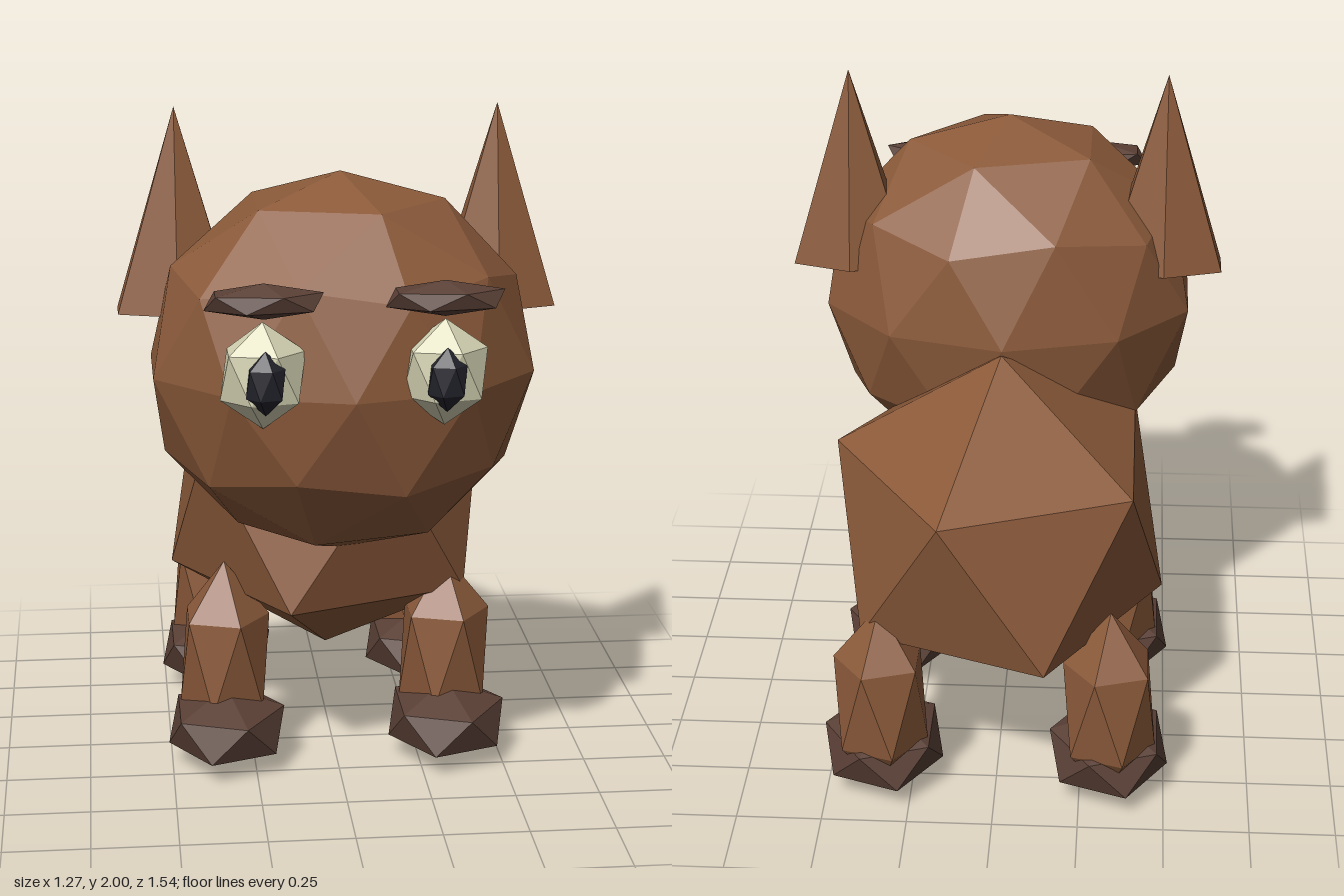
import * as THREE from 'three';

const paint = (name, color) => {
  const m = new THREE.MeshStandardMaterial({ color, flatShading: true });
  m.name = name;
  return m;
};

// Icosahedron with a vertex at each pole and two staggered rings of five
function icoBall(rx, ry, rz, detail = 0) {
  const verts = [0, 1, 0];
  const h = 1 / Math.sqrt(5), r = 2 * h;
  for (const [offset, y] of [[0, h], [Math.PI / 5, -h]]) {
    for (let k = 0; k < 5; k++) {
      const a = offset + (k * 2 * Math.PI) / 5;
      verts.push(r * Math.cos(a), y, -r * Math.sin(a));
    }
  }
  verts.push(0, -1, 0);
  const faces = [];
  for (let k = 0; k < 5; k++) {
    const n = (k + 1) % 5;
    const u = 1 + k, u2 = 1 + n, l = 6 + k, l2 = 6 + n;
    faces.push(0, u, u2, u, l, u2, l, l2, u2, 11, l2, l);
  }
  const geo = new THREE.PolyhedronGeometry(verts, faces, 1, detail);
  geo.scale(rx, ry, rz);
  geo.computeVertexNormals();
  return geo;
}

export function createModel() {
  const fur = paint('brown fur', 0x8b5a3a);
  const dark = paint('dark brown', 0x5a4036);
  const white = paint('eye cream', 0xd4d2b2);
  const black = paint('pupil black', 0x23232c);

  const model = new THREE.Group();
  model.name = 'animal';
  const add = (name, geo, mat, x, y, z) => {
    const mesh = new THREE.Mesh(geo, mat);
    mesh.name = name;
    mesh.position.set(x, y, z);
    model.add(mesh);
  };

  // Body and head
  add('body', icoBall(0.54, 0.515, 0.64), fur, 0, 0.75, -0.225);
  add('head', icoBall(0.57, 0.56, 0.47, 1), fur, 0, 1.27, 0.26);

  // Shared shapes for the paired parts
  const ear = new THREE.ConeGeometry(1, 0.59, 6).toNonIndexed();
  ear.scale(0.197, 1, 0.11);
  ear.computeVertexNormals();
  const leg = icoBall(0.152, 0.307, 0.153);
  const foot = icoBall(0.196, 0.121, 0.225);
  const brow = icoBall(0.182, 0.05, 0.077);
  const eye = icoBall(0.131, 0.15, 0.095);
  const pupil = icoBall(0.06, 0.09, 0.045);

  for (const [side, s] of [['left', 1], ['right', -1]]) {
    // Ears and face
    add(side + 'Ear', ear, fur, s * 0.465, 1.705, 0.14);
    add(side + 'Brow', brow, dark, s * 0.247, 1.55, 0.68);
    add(side + 'Eye', eye, white, s * 0.25, 1.34, 0.665);
    add(side + 'Pupil', pupil, black, s * 0.247, 1.335, 0.737);

    // Legs and feet
    for (const [end, z] of [['Front', 0.095], ['Back', -0.57]]) {
      add(side + end + 'Leg', leg, fur, s * 0.335, 0.313, z);
      add(side + end + 'Foot', foot, dark, s * 0.335, 0.121, z + 0.067);
    }
  }
  return model;
}
